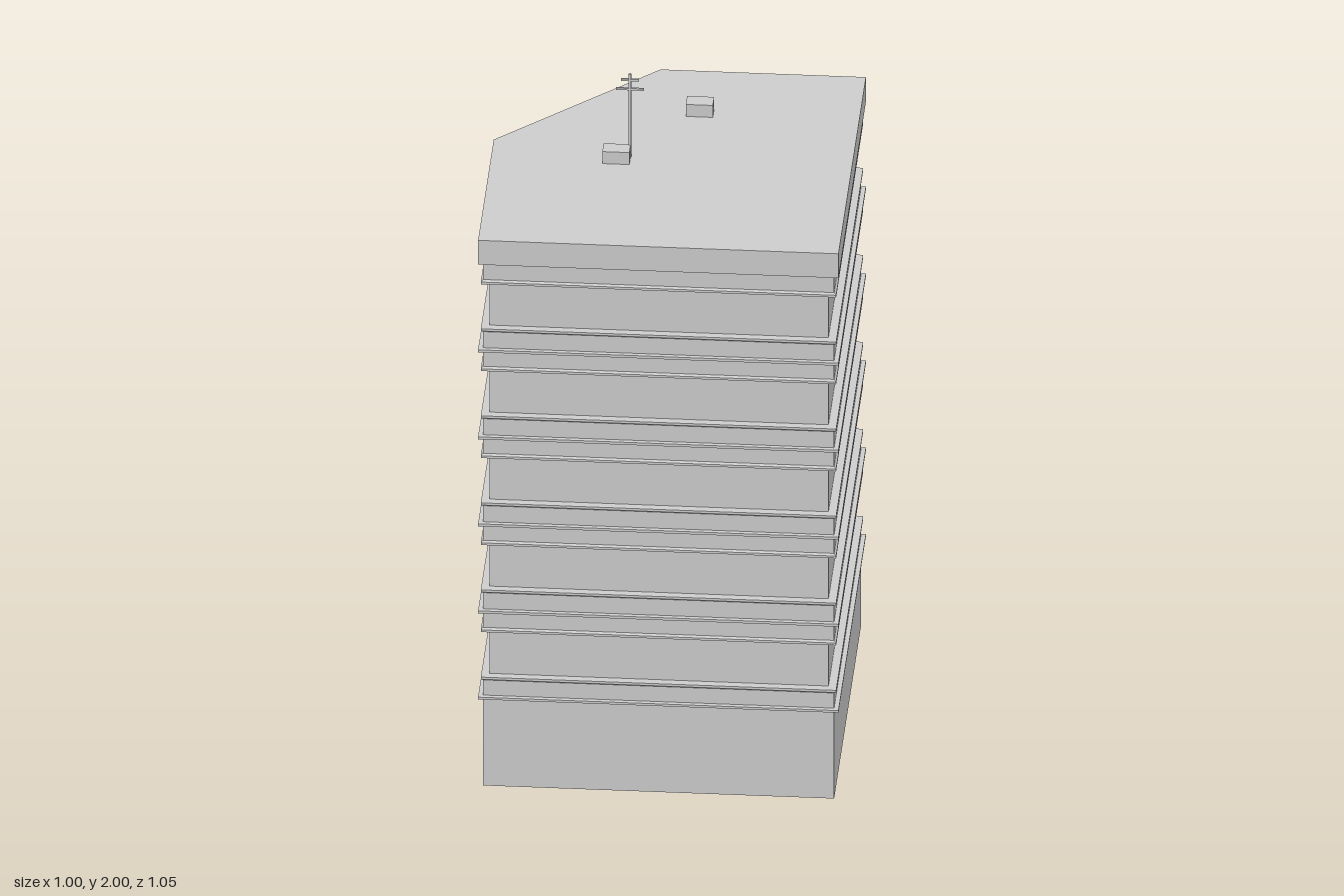
import * as THREE from 'three';

// Outer footprint (x, z), anticlockwise seen from above, one corner cut off
const FOOTPRINT = [[0.5, 0.525], [0.5, -0.475], [-0.07, -0.475], [-0.5, -0.045], [-0.5, 0.525]]
  .map(([x, z]) => new THREE.Vector2(x, z));

// Footprint moved inwards by d, with mitred corners
function inset(d) {
  const n = FOOTPRINT.length;
  const normals = FOOTPRINT.map((p, i) => {
    const e = FOOTPRINT[(i + 1) % n].clone().sub(p).normalize();
    return new THREE.Vector2(-e.y, e.x);
  });
  return FOOTPRINT.map((p, i) => {
    const a = normals[(i + n - 1) % n], b = normals[i];
    return p.clone().addScaledVector(a.clone().add(b), -d / (1 + a.dot(b)));
  });
}

// Closed solid through rings given as [height, inset]
function loft(profile) {
  const rings = profile.map(([y, d]) => inset(d).map((p) => new THREE.Vector3(p.x, y, p.y)));
  const pos = [];
  const tri = (...pts) => pts.forEach((p) => pos.push(p.x, p.y, p.z));
  const n = FOOTPRINT.length;
  for (let r = 0; r + 1 < rings.length; r++) {
    for (let i = 0; i < n; i++) {
      const j = (i + 1) % n, lo = rings[r], hi = rings[r + 1];
      tri(lo[i], lo[j], hi[j]);
      tri(lo[i], hi[j], hi[i]);
    }
  }
  const bottom = rings[0], top = rings[rings.length - 1];
  for (let i = 1; i < n - 1; i++) {
    tri(bottom[0], bottom[i + 1], bottom[i]);
    tri(top[0], top[i], top[i + 1]);
  }
  const g = new THREE.BufferGeometry();
  g.setAttribute('position', new THREE.Float32BufferAttribute(pos, 3));
  g.computeVertexNormals();
  return g;
}

export function createModel() {
  const model = new THREE.Group();
  model.name = 'officeTower';
  const concrete = new THREE.MeshStandardMaterial({ color: 0xcccccc });
  concrete.name = 'concrete grey';

  const add = (name, geometry, parent = model) => {
    const mesh = new THREE.Mesh(geometry, concrete);
    mesh.name = name;
    parent.add(mesh);
    return mesh;
  };
  // Box given by its limits on each axis
  const box = (name, [x0, x1], [y0, y1], [z0, z1], parent) => {
    const m = add(name, new THREE.BoxGeometry(x1 - x0, y1 - y0, z1 - z0), parent);
    m.position.set((x0 + x1) / 2, (y0 + y1) / 2, (z0 + z1) / 2);
    return m;
  };

  const WALL = 0.013, LIP = 0.007, GLASS = 0.03;

  // Ground floor, its ledge and the recessed window core
  add('groundFloor', loft([[0, WALL], [0.335, WALL], [0.34, LIP], [0.347, LIP]]));
  add('groundLedge', loft([[0.28, 0], [0.287, 0]]));
  add('windowCore', loft([[0.34, GLASS], [1.67, GLASS]]));

  // Spandrel bands with lips at both edges and a ledge in the middle
  for (let i = 0; i < 4; i++) {
    const y = 0.557 + i * 0.2762;
    add('floorBand', loft([
      [y - 0.067, LIP], [y - 0.06, LIP], [y - 0.055, WALL],
      [y + 0.055, WALL], [y + 0.06, LIP], [y + 0.067, LIP],
    ]));
    add('floorLedge', loft([[y - 0.004, 0], [y + 0.004, 0]]));
  }
  add('topBand', loft([[1.594, LIP], [1.601, LIP], [1.606, WALL], [1.665, WALL]]));
  add('roofSlab', loft([[1.66, 0], [1.737, 0]]));

  // Door surround on the back wall
  const door = new THREE.Group();
  door.name = 'backDoor';
  model.add(door);
  const face = [-0.468, -0.455];
  box('doorPostLeft', [0.33, 0.345], [0, 0.235], face, door);
  box('doorPostRight', [0.085, 0.1], [0, 0.235], face, door);
  box('doorLintel', [0.1, 0.33], [0.22, 0.235], face, door);

  // Shopfront plate and sloping awning
  box('shopfront', [-0.06, 0.085], [0, 0.16], [-0.4645, -0.458]);
  const awning = box('awning', [-0.07, 0.09], [0.142, 0.146], [-0.532, -0.46]);
  awning.rotation.x = -Math.atan2(0.035, 0.07);

  // Shop window and sill on the cut corner
  const corner = new THREE.Group();
  corner.name = 'cornerShopfront';
  const [a, b] = inset(WALL).slice(2, 4);
  corner.position.set((a.x + b.x) / 2, 0, (a.y + b.y) / 2);
  corner.rotation.y = Math.atan2(-1, -1);
  model.add(corner);
  box('cornerWindow', [-0.24, 0.24], [0.085, 0.22], [-0.002, 0.001], corner);
  box('cornerSill', [-0.24, 0.24], [0.08, 0.087], [-0.002, 0.003], corner);

  // Rooftop units
  box('roofUnitFront', [-0.19, -0.115], [1.735, 1.775], [0.02, 0.067]);
  box('roofUnitBack', [0.02, 0.095], [1.735, 1.775], [-0.264, -0.216]);

  // Aerial mast with two crossbars
  const mast = new THREE.Group();
  mast.name = 'aerial';
  mast.position.set(-0.117, 0, 0.022);
  model.add(mast);
  const pole = add('mastPole', new THREE.CylinderGeometry(0.004, 0.004, 0.265, 8), mast);
  pole.position.y = 1.8675;
  for (const [y, half] of [[1.952, 0.039], [1.981, 0.025]]) {
    box('crossbar', [-half, half], [y - 0.003, y + 0.003], [-0.003, 0.003], mast);
  }
  return model;
}
